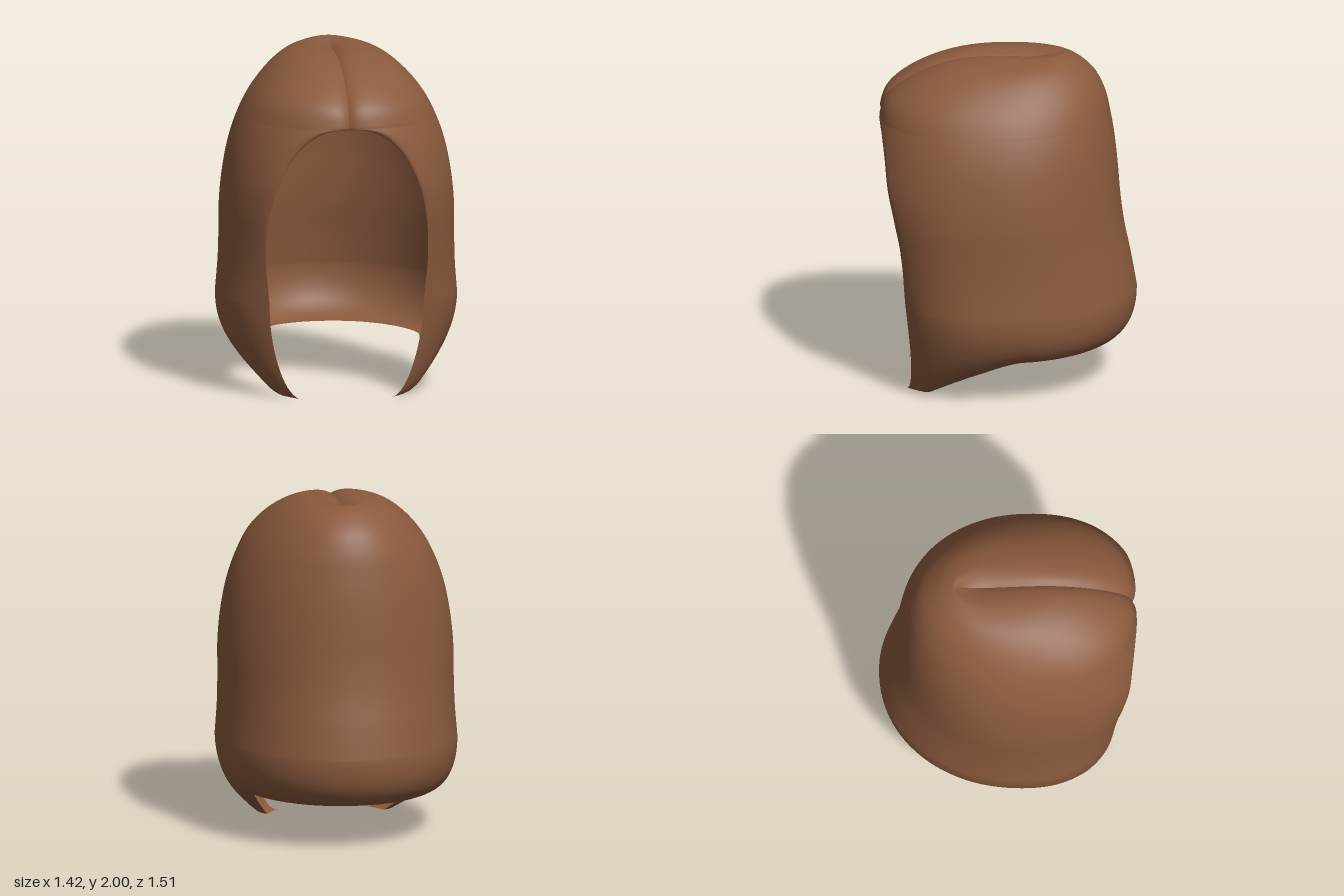
import * as THREE from 'three';

const { smoothstep, lerp, clamp } = THREE.MathUtils;

// Cross-sections from crown to nape: height, half width, back z, front z
const SECTIONS = [
  [2.0, 0.006, -0.31, -0.29],
  [2.002, 0.14, -0.34, 0.15],
  [1.965, 0.28, -0.42, 0.37],
  [1.88, 0.4, -0.515, 0.57],
  [1.76, 0.505, -0.575, 0.72],
  [1.62, 0.58, -0.607, 0.768],
  [1.46, 0.635, -0.632, 0.805],
  [1.28, 0.67, -0.65, 0.83],
  [1.1, 0.688, -0.665, 0.81],
  [0.92, 0.69, -0.69, 0.77],
  [0.74, 0.695, -0.727, 0.73],
  [0.55, 0.71, -0.76, 0.69],
];
const FRONT_POWER = 2.35; // roundness of the sections, front and back
const BACK_POWER = 2.05;
const COLS = 128;
const CURL_ROWS = 16;

// Half width of the face opening at height y
function openingAt(y) {
  if (y < 0.9) return 0.455 + 0.025 * smoothstep(y, 0.5, 0.85);
  const v = Math.min(1, (y - 0.9) / 0.74);
  return 0.48 * Math.pow(1 - v * v, 0.43);
}

// Point on a section, u = -1..1 running from one front edge round the back to the other
function sectionPoint(y, w, zb, zf, u) {
  const o = openingAt(y);
  const q = Math.min(0.98, o / w);
  const end = Math.PI - Math.atan2(q, Math.pow(1 - Math.pow(q, FRONT_POWER), 1 / FRONT_POWER));
  const a = Math.abs(u);
  const t = Math.sign(u) * end * (1 - Math.pow(1 - a, 1.5));
  const s = Math.sin(t), c = Math.cos(t);
  const n = c > 0 ? BACK_POWER : FRONT_POWER;
  const r = Math.pow(Math.pow(Math.abs(s), n) + Math.pow(Math.abs(c), n), -1 / n);
  const zc = lerp(0.1, (zb + zf) / 2, smoothstep(y, 1.7, 2));
  const p = new THREE.Vector3(w * r * s, y, zc - (c > 0 ? zc - zb : zf - zc) * r * c);

  // Rolled-in rim round the face
  if (a > 0.88) {
    const roll = Math.pow((a - 0.88) / 0.12, 2) * clamp(o / 0.2, 0, 1) * smoothstep(y, 0.7, 1.3);
    p.z -= 0.02 * roll;
  }
  // Centre parting pressed into the crown and fringe
  if (y > 1.6) {
    const depth = 0.034 * Math.exp(-Math.abs(p.x) / 0.045) * smoothstep(p.z, -0.32, -0.12);
    p.addScaledVector(new THREE.Vector3(0, p.y - 1.3, p.z * 0.8).normalize(), -depth);
  }
  return p;
}

// Inward curl of the ends; front locks hang lower than the nape
function curl(p, b) {
  const ang = b * Math.PI / 2;
  const z = p.z;
  const front = smoothstep(z, -0.25, 0.5);
  const inward = Math.pow(1 - Math.cos(ang), lerp(1.15, 0.85, front));
  const edgeY = 0.25 * (1 - Math.pow(clamp((z + 0.15) / 0.62, 0, 1), 1.5));
  p.y = lerp(p.y, edgeY, Math.sin(ang));
  p.x *= 1 - lerp(0.24, 0.42, front) * inward;
  if (z < 0.1) p.z = 0.1 + (z - 0.1) * (1 - 0.25 * inward);
  else p.z -= 0.03 * Math.sin(ang * 2) * front;
  return p;
}

function hairGeometry() {
  const back = new THREE.CatmullRomCurve3(
    SECTIONS.map(([y, w, zb]) => new THREE.Vector3(w, y, zb)), false, 'catmullrom', 0.5);
  const front = new THREE.CatmullRomCurve3(
    SECTIONS.map(([y, , , zf]) => new THREE.Vector3(0, y, zf)), false, 'catmullrom', 0.5);
  const upperRows = (SECTIONS.length - 1) * 11;
  const rows = upperRows + CURL_ROWS;
  const pos = [], index = [];

  for (let i = 0; i <= rows; i++) {
    const t = Math.min(1, i / upperRows);
    const A = back.getPoint(t), B = front.getPoint(t);
    for (let j = 0; j <= COLS; j++) {
      const p = sectionPoint(A.y, A.x, A.z, B.z, (j / COLS) * 2 - 1);
      if (i > upperRows) curl(p, (i - upperRows) / CURL_ROWS);
      pos.push(p.x, p.y, p.z);
    }
  }
  const stride = COLS + 1;
  for (let i = 0; i < rows; i++) {
    for (let j = 0; j < COLS; j++) {
      const a = i * stride + j, b = a + stride;
      index.push(a, a + 1, b, a + 1, b + 1, b);
    }
  }
  // Close the tiny hole at the crown
  for (let j = 1; j < COLS - 1; j++) index.push(0, j + 1, j);

  const g = new THREE.BufferGeometry();
  g.setAttribute('position', new THREE.Float32BufferAttribute(pos, 3));
  g.setIndex(index);
  g.computeVertexNormals();
  return g;
}

export function createModel() {
  const group = new THREE.Group();
  group.name = 'bobHair';
  const brown = new THREE.MeshStandardMaterial({ color: 0x8b5a3e, side: THREE.DoubleSide });
  brown.name = 'chestnutBrown';
  const hair = new THREE.Mesh(hairGeometry(), brown);
  hair.name = 'hairShell';
  group.add(hair);
  return group;
}
